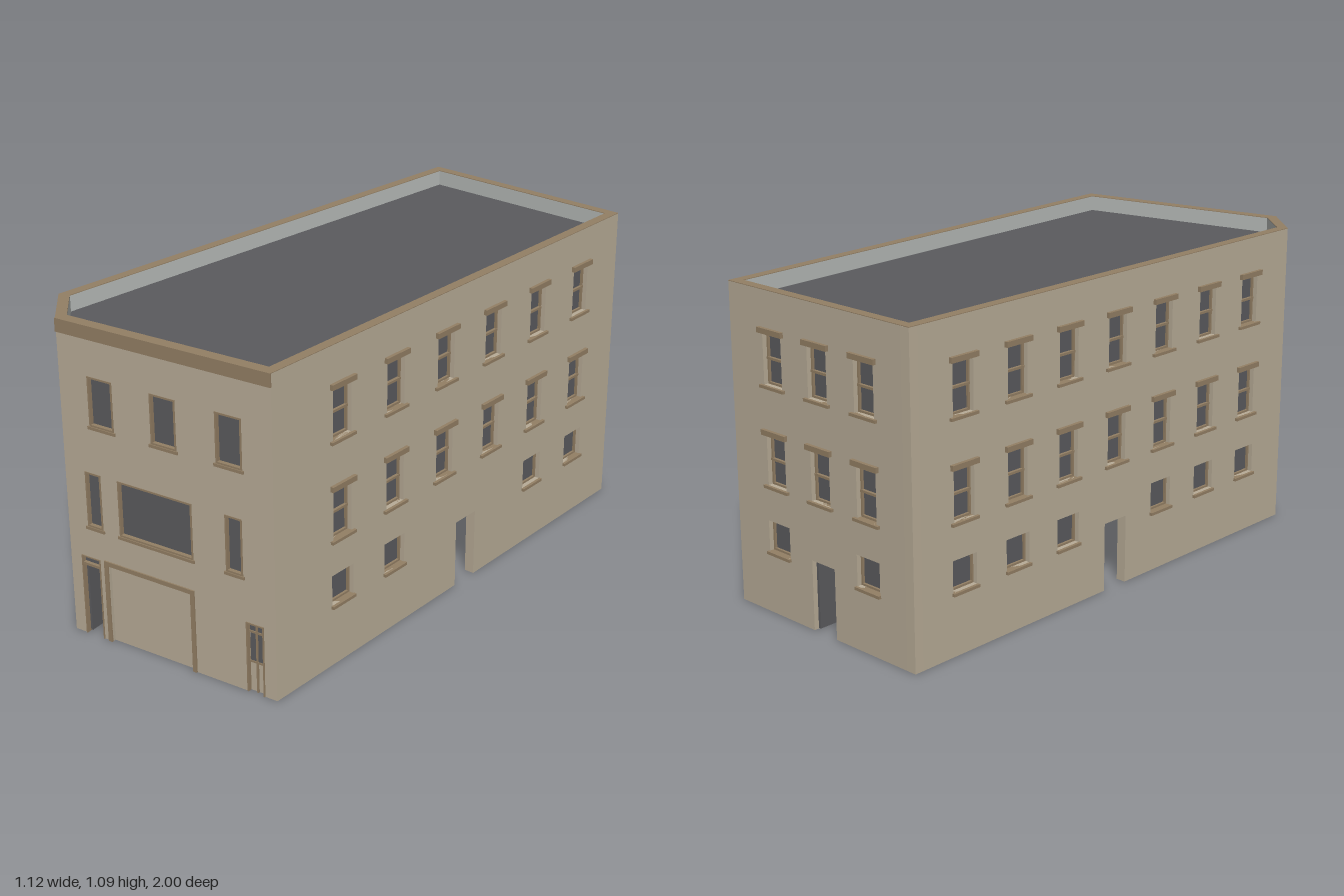
import * as THREE from 'three';

const mat = (name, color) => Object.assign(new THREE.MeshStandardMaterial({ color }), { name });
const M = {
  wall: mat('beige wall', 0xb8ac97),
  trim: mat('brown trim', 0x937f64),
  glass: mat('dark grey', 0x5b5b5e),
  inside: mat('pale grey interior', 0xb8bcb9),
};

const H = 1.09, T = 0.035, CAP = 0.002;
// Footprint corners (x, z), going left to right along each wall as seen from outside
const CORNERS = [[-0.565, 0.835], [-0.44, 0.995], [0.36, 0.995], [0.56, -0.855], [-0.26, -1]]
  .map(([x, z]) => new THREE.Vector2(x, z));
const N = CORNERS.length;

function add(parent, name, geometry, material) {
  const mesh = new THREE.Mesh(geometry, material);
  mesh.name = name;
  parent.add(mesh);
  return mesh;
}

// Box given by its limits
function box(parent, name, material, x0, x1, y0, y1, z0, z1) {
  const g = new THREE.BoxGeometry(x1 - x0, y1 - y0, z1 - z0);
  g.translate((x0 + x1) / 2, (y0 + y1) / 2, (z0 + z1) / 2);
  return add(parent, name, g, material);
}

// Rectangular wall outline with notches for openings that reach the ground
function wallShape(x0, x1, top, notches) {
  const s = new THREE.Shape();
  s.moveTo(x0, 0);
  for (const n of [...notches].sort((a, b) => a.x0 - b.x0)) {
    s.lineTo(n.x0, 0);
    s.lineTo(n.x0, n.y1);
    s.lineTo(n.x1, n.y1);
    s.lineTo(n.x1, 0);
  }
  s.lineTo(x1, 0);
  s.lineTo(x1, top);
  s.lineTo(x0, top);
  s.closePath();
  return s;
}

function rectPath(r) {
  const p = new THREE.Path();
  p.moveTo(r.x0, r.y0);
  p.lineTo(r.x0, r.y1);
  p.lineTo(r.x1, r.y1);
  p.lineTo(r.x1, r.y0);
  p.closePath();
  return p;
}

// Side and top bars, with an optional bottom bar, inside an opening
function frame(g, name, r, w, z0, z1, bottom = true) {
  box(g, name, M.trim, r.x0, r.x0 + w, r.y0, r.y1, z0, z1);
  box(g, name, M.trim, r.x1 - w, r.x1, r.y0, r.y1, z0, z1);
  box(g, name, M.trim, r.x0 + w, r.x1 - w, r.y1 - w, r.y1, z0, z1);
  if (bottom) box(g, name, M.trim, r.x0 + w, r.x1 - w, r.y0, r.y0 + w, z0, z1);
}

function makeWindow(g, r) {
  const front = r.style === 'front', depth = front ? -0.012 : -0.024;
  box(g, 'windowGlass', M.glass, r.x0, r.x1, r.y0, r.y1, depth - 0.004, depth);
  frame(g, 'windowFrame', r, front ? 0.006 : 0.007, depth, front ? 0.002 : depth + 0.008);
  const over = front ? 0.006 : 0.014;
  box(g, 'windowSill', M.trim, r.x0 - (r.style === 'small' ? 0.004 : over),
    r.x1 + (r.style === 'small' ? 0.004 : over), r.y0 - 0.01, r.y0, -0.02, front ? 0.005 : 0.01);
  if (r.style === 'sash') {
    const mid = (r.y0 + r.y1) / 2;
    box(g, 'windowRail', M.trim, r.x0, r.x1, mid - 0.004, mid + 0.004, depth, depth + 0.01);
    box(g, 'windowLintel', M.trim, r.x0 - 0.014, r.x1 + 0.014, r.y1, r.y1 + 0.018, -0.02, 0.012);
  }
}

// Door leaf standing open into the building
function openLeaf(g, d) {
  box(g, 'openDoor', M.glass, d.x0 + 0.003, d.x0 + 0.012, 0.004, (d.leaf ?? d.y1) - 0.003, -T - 0.085, -0.015);
}

const span = (c, w, y0, y1, style) => ({ x0: c - w / 2, x1: c + w / 2, y0, y1, style });

// Regular side wall: sash windows on two floors, small windows and a door below
function sideOpenings(centre, step, count, lowCols) {
  const windows = [];
  for (let i = 0; i < count; i++) {
    const c = centre + (i - (count - 1) / 2) * step;
    for (const y of [0.443, 0.779]) windows.push(span(c, 0.088, y, y + 0.17, 'sash'));
    if (lowCols.includes(i)) windows.push(span(c, 0.104, 0.215, 0.32, 'small'));
  }
  return { windows, doors: [span(centre, 0.108, 0, 0.24)], niches: [] };
}

function frontOpenings() {
  const at = (x0, x1, y0, y1, extra) => ({ x0: x0 + 0.44, x1: x1 + 0.44, y0, y1, style: 'front', ...extra });
  return {
    windows: [
      ...[-0.28, -0.04, 0.202].map(c => at(c - 0.048, c + 0.048, 0.755, 0.922)),
      at(-0.36, -0.298, 0.4, 0.592), at(-0.231, 0.056, 0.4, 0.592), at(0.18, 0.243, 0.4, 0.592),
    ],
    doors: [at(-0.395, -0.319, 0, 0.288, { leaf: 0.253 })],
    niches: [at(-0.286, 0.04, 0, 0.278), at(0.249, 0.315, 0, 0.246)],
  };
}

function frontDetails(g, { doors: [door], niches: [garage, side] }, length) {
  box(g, 'cornice', M.trim, 0, length, 1.045, H, -0.01, 0.005);
  // Garage door and surround
  box(g, 'garageDoor', M.wall, garage.x0, garage.x1, 0, garage.y1, -T, -0.012);
  frame(g, 'garageSurround', { x0: garage.x0 - 0.015, x1: garage.x1 + 0.015, y0: 0, y1: garage.y1 + 0.015 },
    0.015, -0.012, 0.005, false);
  // Open entrance with transom light
  frame(g, 'entranceFrame', { ...door, y0: 0 }, 0.004, -0.02, 0.003, false);
  box(g, 'transomBar', M.trim, door.x0, door.x1, 0.253, 0.262, -0.02, 0);
  box(g, 'transomGlass', M.glass, door.x0, door.x1, 0.262, door.y1, -T, -0.012);
  // Closed side door with four panes
  const mid = (side.x0 + side.x1) / 2;
  box(g, 'sideDoor', M.wall, side.x0, side.x1, 0, side.y1, -T, -0.012);
  frame(g, 'sideDoorFrame', side, 0.005, -0.012, 0.003, false);
  box(g, 'sideDoorStile', M.trim, mid - 0.003, mid + 0.003, 0, side.y1, -0.012, -0.006);
  for (const [y0, y1] of [[0.11, 0.207], [0.216, 0.238]]) {
    for (const [x0, x1] of [[side.x0 + 0.008, mid - 0.004], [mid + 0.004, side.x1 - 0.008]]) {
      box(g, 'sideDoorPane', M.glass, x0, x1, y0, y1, -0.012, -0.009);
    }
  }
  for (const y of [0.103, 0.208]) {
    box(g, 'sideDoorRail', M.trim, side.x0, side.x1, y, y + 0.007, -0.012, -0.007);
  }
}

// Distance the inner corner is pulled in along a wall
function mitre(i) {
  const c = CORNERS[i];
  const a = CORNERS[(i + N - 1) % N].clone().sub(c).normalize();
  const b = CORNERS[(i + 1) % N].clone().sub(c).normalize();
  return T / Math.tan(Math.acos(a.dot(b)) / 2);
}

function makeWall(name, i, openings) {
  const a = CORNERS[i], b = CORNERS[(i + 1) % N];
  const length = a.distanceTo(b);
  const g = new THREE.Group();
  g.name = name;
  g.position.set(a.x, 0, a.y);
  g.rotation.y = Math.atan2(-(b.y - a.y), b.x - a.x);
  const { windows, doors, niches } = openings;
  const outer = wallShape(0, length, H - CAP, [...doors, ...niches]);
  outer.holes = windows.map(rectPath);
  const slab = new THREE.ExtrudeGeometry(outer, { depth: T, bevelEnabled: false });
  slab.translate(0, 0, -T);
  add(g, name + 'Shell', slab, M.wall);
  // Plain lining, pierced only by the open doors
  const m0 = mitre(i), m1 = mitre((i + 1) % N);
  const lining = new THREE.ShapeGeometry(wallShape(-length + m1, -m0, H - CAP,
    doors.map(d => ({ x0: -d.x1, x1: -d.x0, y1: d.y1 }))));
  lining.rotateY(Math.PI);
  lining.translate(0, 0, -T - 0.001);
  add(g, name + 'Lining', lining, M.inside);
  windows.forEach(w => makeWindow(g, w));
  doors.forEach(d => openLeaf(g, d));
  if (name === 'frontWall') frontDetails(g, openings, length);
  return g;
}

export function createModel() {
  const model = new THREE.Group();
  model.name = 'building';
  const len = i => CORNERS[i].distanceTo(CORNERS[(i + 1) % N]);

  model.add(makeWall('cornerWall', 0, { windows: [], doors: [], niches: [] }));
  model.add(makeWall('frontWall', 1, frontOpenings()));
  model.add(makeWall('leftWall', 2, sideOpenings(0.973, 0.2625, 6, [0, 1, 4, 5])));
  model.add(makeWall('backWall', 3, sideOpenings(len(3) / 2, 0.213, 3, [0, 2])));
  model.add(makeWall('rightWall', 4, sideOpenings(len(4) / 2, 0.2377, 7, [0, 1, 2, 4, 5, 6])));

  // Inner outline: each corner moved along one wall by the mitre and inward by T
  const inner = CORNERS.map((c, i) => {
    const d = CORNERS[(i + 1) % N].clone().sub(c).normalize();
    return c.clone().addScaledVector(d, mitre(i)).add(new THREE.Vector2(d.y, -d.x).multiplyScalar(T));
  });
  const flip = pts => pts.map(p => new THREE.Vector2(p.x, -p.y));

  // Parapet cap
  const ring = new THREE.Shape(flip(CORNERS));
  ring.holes.push(new THREE.Path(flip(inner)));
  const cap = new THREE.ExtrudeGeometry(ring, { depth: CAP, bevelEnabled: false });
  cap.rotateX(-Math.PI / 2);
  add(model, 'parapetCap', cap, M.trim).position.y = H - CAP;

  // Sunken roof and the ceiling below it
  const roof = new THREE.ShapeGeometry(new THREE.Shape(flip(inner)));
  roof.rotateX(-Math.PI / 2);
  add(model, 'roof', roof, M.glass).position.y = 1.035;
  const ceiling = new THREE.ShapeGeometry(new THREE.Shape(inner));
  ceiling.rotateX(Math.PI / 2);
  add(model, 'ceiling', ceiling, M.inside).position.y = 1.03;
  return model;
}
